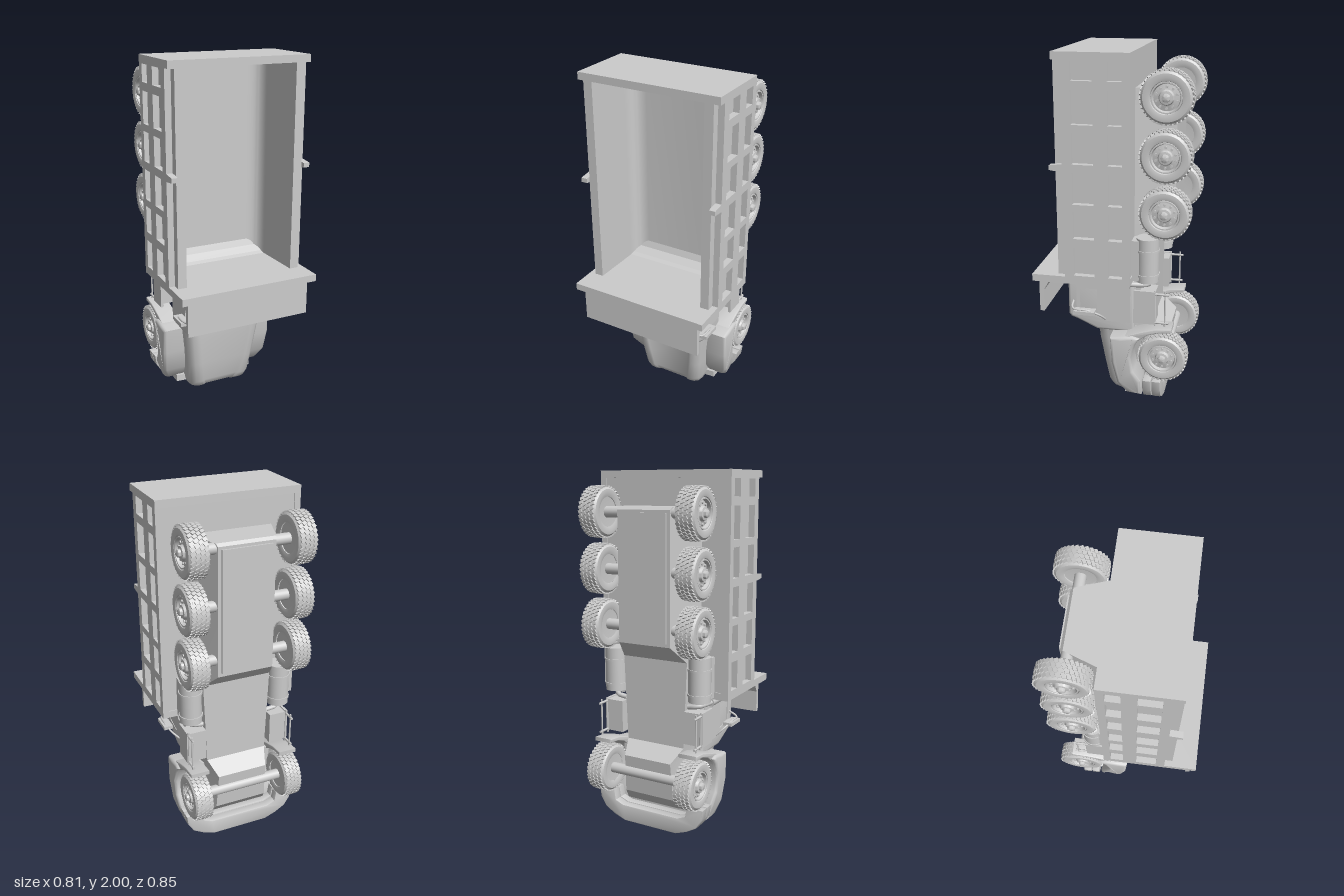
import * as THREE from 'three';
import { mergeGeometries, toCreasedNormals } from 'three/addons/utils/BufferGeometryUtils.js';

const grey = new THREE.MeshStandardMaterial({ color: 0xcccccc, side: THREE.DoubleSide });

export function createModel() {
  const model = new THREE.Group();

  function add(name, geometry, parent = model) {
    const mesh = new THREE.Mesh(geometry, grey);
    mesh.name = name;
    parent.add(mesh);
    return mesh;
  }
  // Box given by its limits
  function box(x0, x1, y0, y1, z0, z1) {
    return new THREE.BoxGeometry(x1 - x0, y1 - y0, z1 - z0)
      .translate((x0 + x1) / 2, (y0 + y1) / 2, (z0 + z1) / 2);
  }
  const smooth = (g, angle = 0.6) => toCreasedNormals(g, angle);
  const toShape = (pts) => new THREE.Shape(pts.map(([a, b]) => new THREE.Vector2(a, b)));
  // Outline in (z, y) extruded across x
  function extrudeX(pts, x0, x1, bevel = 0, holes = []) {
    const shape = toShape(pts.map(([z, y]) => [-z, y]));
    for (const h of holes) shape.holes.push(toShape(h.map(([z, y]) => [-z, y])));
    return new THREE.ExtrudeGeometry(shape, {
      depth: x1 - x0 - 2 * bevel, bevelEnabled: bevel > 0, bevelSize: bevel,
      bevelThickness: bevel, bevelOffset: -bevel, bevelSegments: 3,
    }).rotateY(Math.PI / 2).translate(x0 + bevel, 0, 0);
  }
  const tube = (pts, r) => new THREE.TubeGeometry(
    new THREE.CatmullRomCurve3(pts.map((p) => new THREE.Vector3(...p))), 24, r, 10);
  const cylX = (r, x0, x1, y, z, n = 24) => new THREE.CylinderGeometry(r, r, x1 - x0, n)
    .rotateZ(Math.PI / 2).translate((x0 + x1) / 2, y, z);
  const cylY = (r, y0, y1, x, z) => new THREE.CylinderGeometry(r, r, y1 - y0, 24)
    .translate(x, (y0 + y1) / 2, z);
  const cylZ = (r, z0, z1, x, y) => new THREE.CylinderGeometry(r, r, z1 - z0, 12)
    .rotateX(Math.PI / 2).translate(x, y, (z0 + z1) / 2);

  // Skin over rings of [x, z] points placed at rising y
  function loft(sections) {
    const pos = [], idx = [], n = sections[0].ring.length, last = (sections.length - 1) * n;
    for (const { y, ring } of sections) for (const [x, z] of ring) pos.push(x, y, z);
    for (let s = 0; s < last; s += n) for (let i = 0; i < n; i++) {
      const j = (i + 1) % n;
      idx.push(s + i, s + n + i, s + j, s + j, s + n + i, s + n + j);
    }
    for (let i = 1; i < n - 1; i++) idx.push(0, i, i + 1, last, last + i + 1, last + i);
    const g = new THREE.BufferGeometry();
    g.setAttribute('position', new THREE.Float32BufferAttribute(pos, 3));
    g.setIndex(idx);
    return g;
  }
  const mirrored = (half) => [...half, ...half.map(([x, z]) => [-x, z]).reverse()];

  // Dump bed: tub with rounded floor corners, end walls and canopy
  const tub = new THREE.Shape();
  tub.moveTo(-0.37, 0.11).lineTo(0.37, 0.11).lineTo(0.37, -0.285).lineTo(0.32, -0.285).lineTo(0.31, 0.0);
  tub.quadraticCurveTo(0.305, 0.08, 0.23, 0.085).lineTo(-0.23, 0.085);
  tub.quadraticCurveTo(-0.305, 0.08, -0.31, 0.0).lineTo(-0.32, -0.285).lineTo(-0.37, -0.285);
  add('bedTub', smooth(new THREE.ExtrudeGeometry(tub, { depth: 1.2, bevelEnabled: false })
    .rotateX(-Math.PI / 2).translate(0, 0.785, 0)));
  add('bedTailWall', box(-0.405, 0.405, 1.96, 2, -0.115, 0.285));
  add('bedFrontWall', box(-0.405, 0.405, 0.77, 0.81, -0.115, 0.425));
  add('bedFrontFillet', extrudeX([[-0.09, 0.8], [0.02, 0.8], [-0.03, 0.82], [-0.07, 0.85], [-0.09, 0.9]], -0.31, 0.31));
  add('canopyLip', extrudeX([[0.4, 0.775], [0.4, 0.575], [0.375, 0.575], [0.375, 0.7], [0.335, 0.775]], -0.365, 0.365));

  // Hull under the bed and cab
  const hull = [[0.13, 0.22], [0.2, 0.28], [0.42, 0.3], [0.49, 0.21], [0.98, 0.21], [1.08, 0.32], [1.795, 0.32], [1.81, 0.305]]
    .map(([y, d]) => {
      const w = 0.24 - (d - 0.11) * 0.38 - (y < 0.95 ? 0.02 : 0);
      return { y, ring: mirrored([[w, -d], [y < 0.95 ? 0.2 : 0.24, -0.1]]) };
    });
  add('hull', smooth(loft(hull), 0.3));
  add('hullPlate', box(-0.14, 0.14, 1.1, 1.78, -0.33, -0.31));

  // Hood with a sunken centre panel
  const hood = [[0, 0.15, -0.08], [0.012, 0.17, 0], [0.035, 0.185, 0.035], [0.07, 0.195, 0.052], [0.2, 0.21, 0.075], [0.37, 0.23, 0.1], [0.45, 0.24, 0.105]]
    .map(([y, w, t]) => ({
      y, ring: mirrored([[w, -0.17], [w, t - 0.06], [w - 0.008, t - 0.025], [w - 0.03, t - 0.005],
        [w - 0.06, t], [w - 0.075, t - 0.002], [w - 0.09, t - 0.012]]),
    }));
  add('hood', smooth(loft(hood), 0.7));

  // Cab with windshield, door and window panels
  add('cab', smooth(extrudeX([[0.27, 0.74], [0.27, 0.515], [0.255, 0.495], [0.225, 0.485], [0.1, 0.43],
    [-0.11, 0.43], [-0.11, 0.74]], -0.25, 0.25, 0.015)));
  add('windshield', extrudeX([[0.215, 0.49], [0.215, 0.477], [0.11, 0.431], [0.11, 0.44]], -0.22, 0.22));

  // Front outline narrows towards the nose
  const noseWidth = new THREE.SplineCurve([[0.17, 0], [0.24, 0.03], [0.3, 0.065], [0.335, 0.13], [0.35, 0.28], [0.345, 0.52]]
    .map((p) => new THREE.Vector2(...p))).getPoints(60);
  function narrow(g) {
    const p = g.attributes.position;
    for (let i = 0; i < p.count; i++) {
      const y = p.getY(i);
      const w = (noseWidth.find((q) => q.y >= y) || noseWidth[60]).x;
      if (p.getX(i) > 0.28) p.setX(i, p.getX(i) - (0.35 - w));
    }
    return g;
  }

  // Bumper in two bands
  const outer = [[0, 0.004], [0.17, 0.004], [0.24, 0.03], [0.3, 0.065], [0.335, 0.12], [0.343, 0.18]];
  const inner = [[0.24, 0.18], [0.23, 0.12], [0.18, 0.1], [0, 0.1]];
  const half = [...outer, ...inner].filter(([x]) => x > 0);
  const bumperOutline = [...half, ...half.map(([x, y]) => [-x, y]).reverse()];
  for (const [z, d] of [[-0.225, 0.048], [-0.28, 0.05]]) {
    add('bumper', smooth(new THREE.ExtrudeGeometry(toShape(bumperOutline), {
      depth: d - 0.012, bevelSize: 0.006, bevelThickness: 0.006, bevelOffset: -0.006, bevelSegments: 2,
    }).translate(0, 0, z + 0.006)));
  }
  for (const z of [-0.06, -0.1, -0.14]) add('grilleBar', box(-0.13, 0.13, 0.002, 0.03, z - 0.008, z + 0.008));

  // Parts repeated on both sides
  const side = new THREE.Group();
  side.name = 'leftSideParts';
  const rows = [[0.82, 0.98], [1.03, 1.18], [1.22, 1.39], [1.435, 1.6], [1.64, 1.815], [1.86, 1.955]];
  const pockets = rows.flatMap(([a, b]) => [[0.075, 0.19], [-0.075, 0.0]]
    .map(([c, d]) => [[c, a], [d, a], [d, b], [c, b]]));
  add('bedSideRibs', extrudeX([[-0.115, 0.8], [0.24, 0.8], [0.24, 1.97], [-0.115, 1.97]], 0.37, 0.405, 0, pockets), side);
  add('bedBracket', extrudeX([[0.23, 1.39], [0.31, 1.4], [0.31, 1.425], [0.23, 1.435]], 0.37, 0.405), side);
  add('fender', smooth(narrow(extrudeX([[0.01, 0.43], [0, 0.28], [-0.03, 0.15], [-0.08, 0.075], [-0.165, 0.055],
    [-0.165, 0.17], [-0.125, 0.23], [-0.11, 0.32], [-0.135, 0.4], [-0.16, 0.44], [-0.12, 0.45], [-0.05, 0.44]], 0.19, 0.35, 0.018)), 0.8), side);
  add('rearFender', smooth(extrudeX([[-0.04, 0.43], [-0.14, 0.415], [-0.2, 0.46], [-0.26, 0.48], [-0.335, 0.487],
    [-0.335, 0.51], [-0.25, 0.502], [-0.17, 0.48]], 0.22, 0.33, 0.005)), side);
  add('headlight', box(0.19, 0.25, 0.03, 0.07, -0.13, -0.06).rotateZ(0.05), side);
  add('door', extrudeX([[0.22, 0.705], [0.22, 0.54], [0.04, 0.49], [-0.09, 0.49], [-0.09, 0.705]], 0.249, 0.254, 0,
    [[[0.2, 0.68], [0.2, 0.555], [0.1, 0.53], [0.1, 0.68]]]), side);

  // Mirror and its bracket
  add('mirrorArm', tube([[0.24, 0.49, 0.05], [0.29, 0.54, 0.08], [0.31, 0.57, 0.14], [0.3, 0.575, 0.23], [0.24, 0.6, 0.24]], 0.006), side);
  add('mirror', box(0.275, 0.33, 0.55, 0.57, 0.1, 0.22), side);

  // Exhaust with muffler
  add('exhaustPipe', tube([[0.2, 0.73, -0.19], [0.26, 0.74, -0.19], [0.29, 0.745, -0.12], [0.29, 0.745, 0.1], [0.29, 0.745, 0.24], [0.29, 0.75, 0.33]], 0.014), side);
  add('muffler', cylZ(0.024, -0.1, 0.235, 0.29, 0.745), side);

  // Fuel tank with bands
  add('fuelTank', cylY(0.062, 0.77, 1.02, 0.27, -0.19), side);
  for (const y of [0.81, 0.95]) add('tankBand', cylY(0.067, y - 0.006, y + 0.006, 0.27, -0.19), side);
  add('tankMount', box(0.2, 0.32, 0.78, 1.01, -0.15, -0.11), side);

  // Side step
  add('stepBox', box(0.2, 0.3, 0.53, 0.715, -0.24, -0.155), side);
  add('stepPanel', box(0.3, 0.315, 0.525, 0.72, -0.24, -0.12), side);
  for (const y of [0.535, 0.705]) add('stepRail', cylZ(0.007, -0.315, -0.12, 0.305, y), side);
  for (const z of [-0.295, -0.24]) add('stepRung', cylY(0.005, 0.515, 0.725, 0.305, z), side);

  const otherSide = side.clone();
  otherSide.name = 'rightSideParts';
  otherSide.scale.x = -1;
  model.add(side, otherSide);

  // Wheel: axis along x, outer face on +x
  const lathe = (pts, n = 48) => smooth(new THREE.LatheGeometry(pts.map((p) => new THREE.Vector2(...p)), n)
    .rotateZ(-Math.PI / 2));
  const tire = lathe([[0.08, -0.05], [0.1, -0.056], [0.12, -0.054], [0.131, -0.044], [0.135, 0],
    [0.131, 0.044], [0.12, 0.054], [0.1, 0.056], [0.084, 0.052], [0.08, 0.04]]);
  const rim = lathe([[0, -0.04], [0.08, -0.045], [0.082, 0.04], [0.08, 0.05], [0.073, 0.05], [0.068, 0.03],
    [0.04, 0.036], [0.034, 0.05], [0.022, 0.052], [0.02, 0.066], [0.015, 0.069], [0, 0.069]], 32);
  const blocks = [];
  const count = 36;
  for (let i = 0; i < count; i++) for (const [x, lift, shift] of [[-0.036, 0.1355, 0], [-0.012, 0.1375, 0.4], [0.012, 0.1375, 0.8], [0.036, 0.1355, 1.2]]) {
    blocks.push(new THREE.BoxGeometry(0.022, 0.007, 0.017).rotateY(0.45).translate(x, lift - 0.001, 0)
      .rotateX(((i + shift) / count) * Math.PI * 2));
  }
  const tread = mergeGeometries(blocks);
  const nuts = mergeGeometries(Array.from({ length: 10 }, (_, i) => cylX(0.007, 0.025, 0.041, 0.054, 0, 8)
    .rotateX((i / 10) * Math.PI * 2)));

  [0.325, 1.17, 1.475, 1.78].forEach((y, i) => {
    add('axle', cylX(0.03, -0.25, 0.25, y, -0.285));
    for (const s of [1, -1]) {
      const wheel = new THREE.Group();
      wheel.name = i ? 'rearWheel' : 'frontWheel';
      add('tire', tire, wheel);
      add('tread', tread, wheel);
      add('rim', rim, wheel);
      add('wheelNuts', nuts, wheel);
      wheel.position.set(s * (i ? 0.292 : 0.28), y, -0.285);
      if (s < 0) wheel.rotation.y = Math.PI;
      model.add(wheel);
    }
  });

  return model;
}
